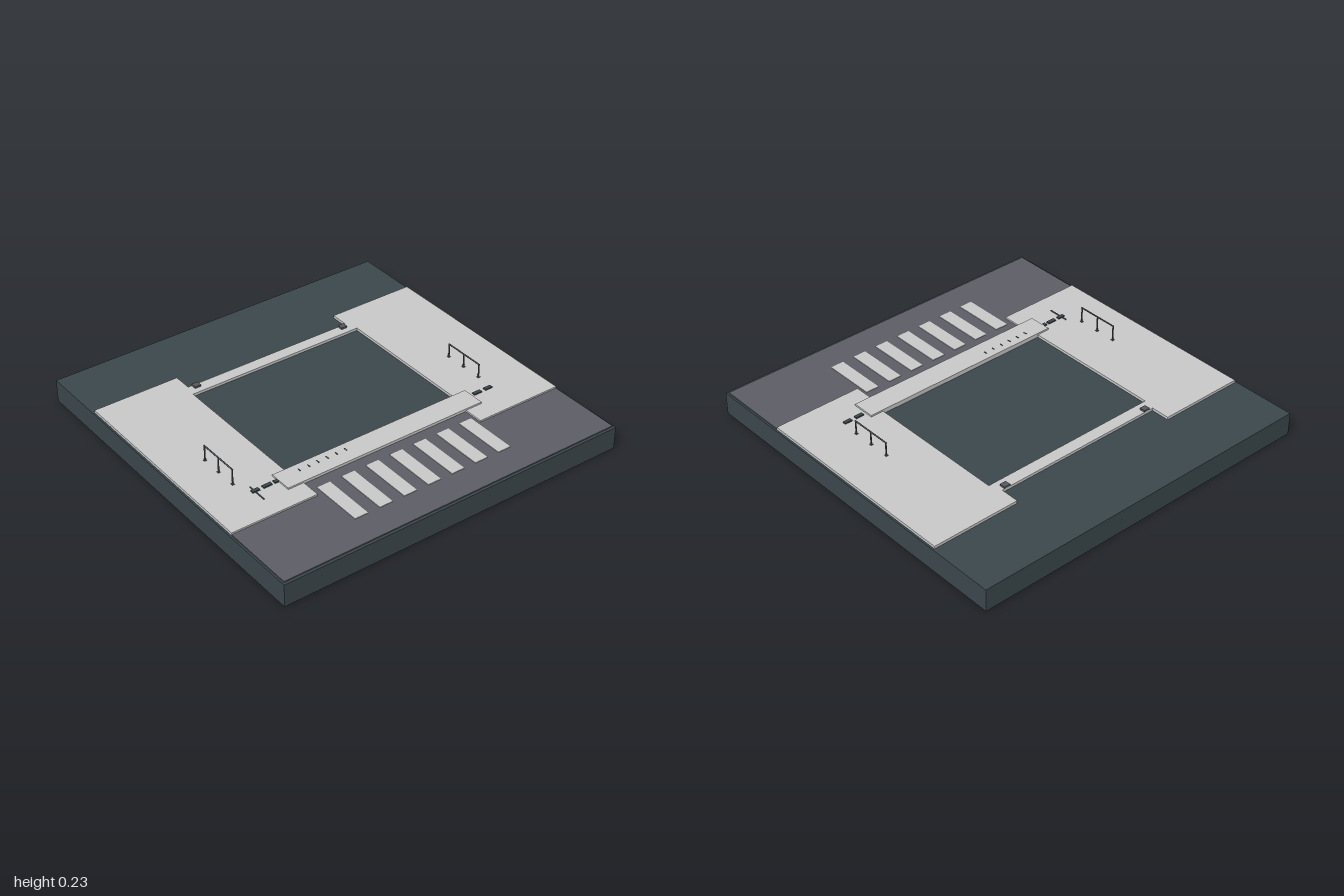
import * as THREE from 'three';

const mat = (name, color) => {
  const m = new THREE.MeshStandardMaterial({ color });
  m.name = name;
  return m;
};

export function createModel() {
  const model = new THREE.Group();
  model.name = 'streetTile';
  const slate = mat('slate', 0x3b474c);
  const concrete = mat('concrete', 0xc9c9c9);
  const asphalt = mat('asphalt', 0x5c5d65);
  const steel = mat('steel', 0x54585c);

  // Box given by its limits on each axis
  const box = (name, material, x0, x1, y0, y1, z0, z1, parent = model) => {
    const mesh = new THREE.Mesh(new THREE.BoxGeometry(x1 - x0, y1 - y0, z1 - z0), material);
    mesh.position.set((x0 + x1) / 2, (y0 + y1) / 2, (z0 + z1) / 2);
    mesh.name = name;
    parent.add(mesh);
    return mesh;
  };

  // Ground slab
  box('base', slate, -1, 1, 0, 0.125, -1, 1);

  // Pavement with notches front and back and an open building plot
  const toPoints = (list) => list.map(([x, z]) => new THREE.Vector2(x, -z));
  const outline = new THREE.Shape(toPoints([
    [-0.99, 0.575], [-0.505, 0.575], [-0.505, 0.462], [0.49, 0.462], [0.49, 0.575], [0.99, 0.575],
    [0.99, -0.635], [0.49, -0.635], [0.49, -0.53], [-0.505, -0.53], [-0.505, -0.635], [-0.99, -0.635],
  ]));
  outline.holes.push(new THREE.Path(toPoints([
    [-0.52, -0.462], [0.515, -0.462], [0.515, 0.335], [-0.52, 0.335],
  ])));
  const paving = new THREE.ExtrudeGeometry(outline, { depth: 0.015, bevelEnabled: false });
  paving.rotateX(-Math.PI / 2);
  const pavement = new THREE.Mesh(paving, concrete);
  pavement.position.y = 0.125;
  pavement.name = 'pavement';
  model.add(pavement);

  // Road, with an apron running up to the front step
  box('road', asphalt, -0.99, 0.99, 0.125, 0.131, 0.575, 0.985);
  box('roadApron', asphalt, -0.505, 0.49, 0.125, 0.131, 0.462, 0.575);

  // Crossing stripes
  for (let i = 0; i < 7; i++) {
    const x = -0.472 + i * 0.1445;
    box('crossingStripe', concrete, x, x + 0.076, 0.131, 0.134, 0.525, 0.82);
  }

  // Front step and its small floor slots
  box('frontStep', concrete, -0.595, 0.59, 0.138, 0.149, 0.335, 0.465);
  for (let i = 0; i < 6; i++) {
    const x = -0.47 + i * 0.055;
    box('stepSlot', slate, x - 0.003, x + 0.003, 0.149, 0.151, 0.37, 0.39);
  }

  // Dark blocks in line with the step
  for (const [x0, x1] of [[-0.745, -0.703], [-0.682, -0.632], [-0.618, -0.595], [0.608, 0.655], [0.68, 0.724]]) {
    box('kerbBlock', slate, x0, x1, 0.14, 0.147, 0.371, 0.391);
  }
  box('kerbBar', steel, -0.731, -0.726, 0.14, 0.145, 0.343, 0.46);

  // Feet on the back ledge
  for (const x of [-0.466, 0.458]) {
    box('backFoot', steel, x - 0.018, x + 0.018, 0.14, 0.15, -0.53, -0.497);
  }

  // Cycle stands: three posts under a top rail
  const stand = (name, x, top) => {
    const group = new THREE.Group();
    group.name = name;
    const r = 0.004;
    for (const z of [0.04, 0.157, 0.275]) {
      const post = new THREE.Mesh(new THREE.CylinderGeometry(r, r, top - 0.138, 8), steel);
      post.position.set(x, (top + 0.138) / 2, z);
      post.name = 'standPost';
      group.add(post);
      box('standFoot', steel, x - 0.007, x + 0.007, 0.14, 0.143, z - 0.007, z + 0.007, group);
    }
    const rail = new THREE.Mesh(new THREE.CylinderGeometry(r, r, 0.243, 8), steel);
    rail.rotation.x = Math.PI / 2;
    rail.position.set(x, top, 0.1575);
    rail.name = 'standRail';
    group.add(rail);
    model.add(group);
  };
  stand('rightStand', -0.78, 0.226);
  stand('leftStand', 0.73, 0.216);

  return model;
}
